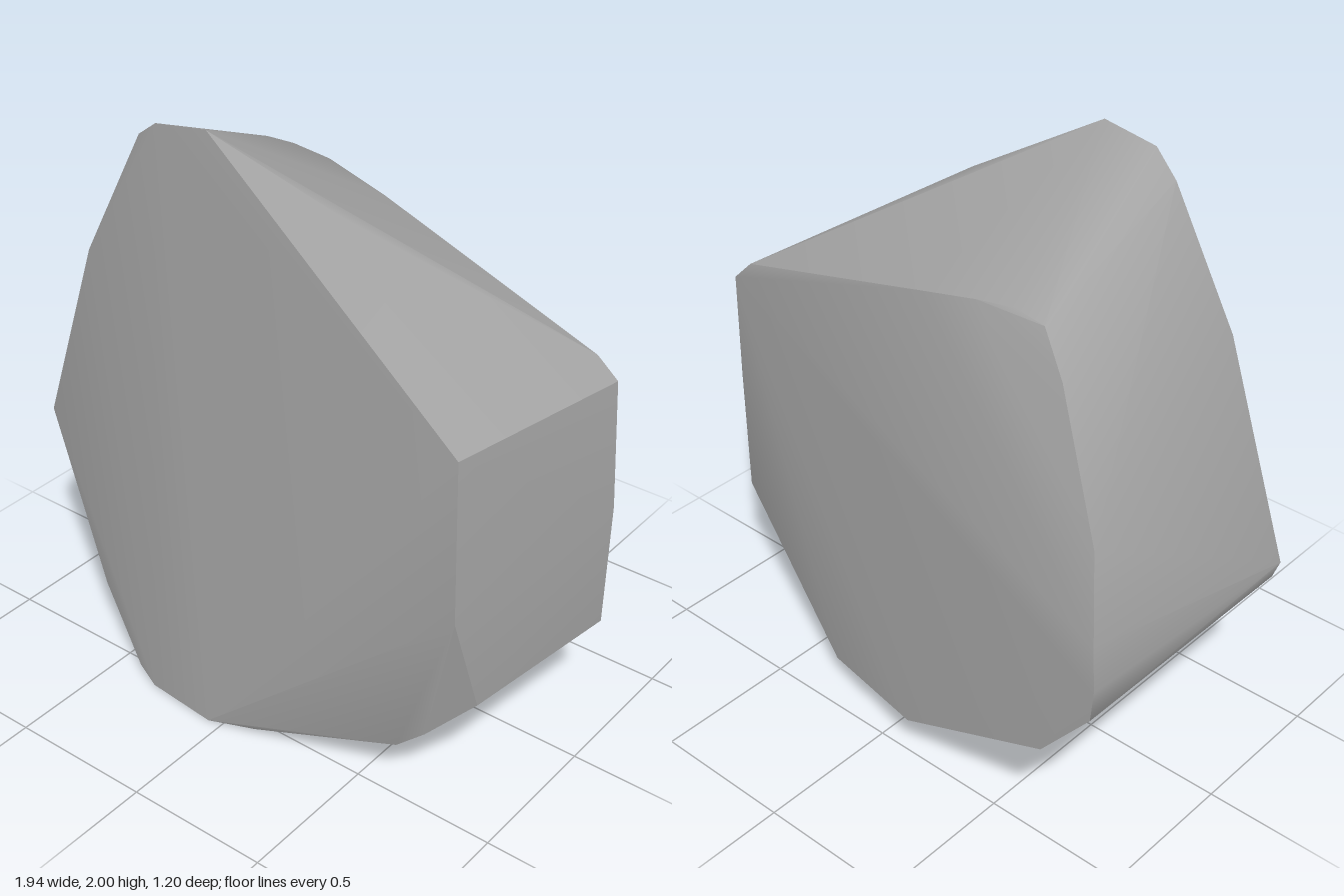
import * as THREE from 'three';
import { ConvexGeometry } from 'three/addons/geometries/ConvexGeometry.js';
import { toCreasedNormals } from 'three/addons/utils/BufferGeometryUtils.js';

export function createModel() {
  const group = new THREE.Group();
  group.name = 'boulder';
  const stone = new THREE.MeshStandardMaterial({ color: 0xa3a3a3 });
  stone.name = 'grey stone';

  // rim of the broad front facet, clockwise from the peak
  const frontRim = [
    [-0.17, 2, 0.375], [0.82, 1.3, 0.475], [0.86, 0.78, 0.52], [0.74, 0.28, 0.48],
    [0.64, 0.19, 0.49], [0.12, 0.025, 0.56], [-0.05, 0, 0.6], [-0.31, 0.005, 0.58],
    [-0.4, 0.03, 0.55], [-0.63, 0.22, 0.46], [-0.95, 0.68, 0.32], [-0.97, 0.74, 0.33],
    [-0.7, 1.45, 0.365], [-0.47, 1.9, 0.345], [-0.37, 1.97, 0.375],
  ];
  // worn corners between the front and back
  const shoulders = [[0.23, 1.77, 0.22], [0.88, 0.42, 0.41]];
  // rim of the sloping back facet
  const backRim = [
    [-0.49, 1.68, -0.28], [-0.37, 1.69, -0.27], [-0.23, 1.67, -0.28], [0, 1.61, -0.27],
    [0.86, 1.36, -0.19], [0.93, 1.29, -0.2], [0.97, 0.87, -0.17], [0.955, 0.42, -0.18],
    [0.3, 0.105, -0.41], [-0.14, 0.155, -0.52], [-0.77, 0.47, -0.6], [-0.95, 0.69, -0.6],
    [-0.96, 0.8, -0.6], [-0.93, 0.93, -0.57], [-0.85, 1.18, -0.48], [-0.6, 1.56, -0.33],
  ];

  const points = [...frontRim, ...shoulders, ...backRim].map((p) => new THREE.Vector3(...p));
  // smooth shading across shallow bends, sharp at the facet edges
  const rock = new THREE.Mesh(toCreasedNormals(new ConvexGeometry(points), 0.6), stone);
  rock.name = 'rock';
  group.add(rock);
  return group;
}
